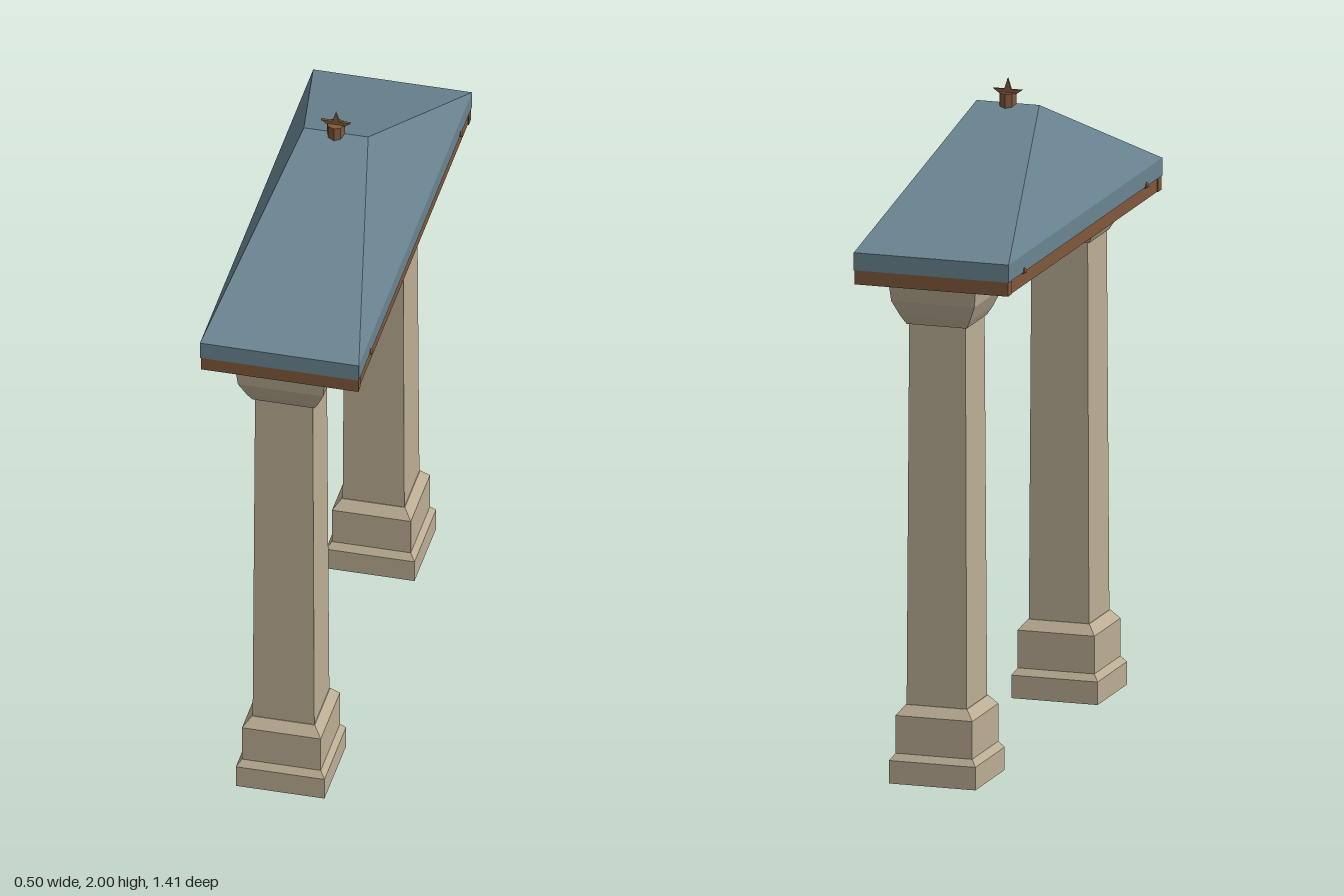
import * as THREE from 'three';

const stone = new THREE.MeshStandardMaterial({ color: 0xbcae94 });
stone.name = 'stone';
const slate = new THREE.MeshStandardMaterial({ color: 0x6a8592 });
slate.name = 'slate';
const wood = new THREE.MeshStandardMaterial({ color: 0x80593b });
wood.name = 'wood';

// Flat-faced solid through rectangular rings [halfX, halfZ, y]
function stack(rings) {
  const corners = [[1, 1], [1, -1], [-1, -1], [-1, 1]];
  const at = (r, i) => [corners[i % 4][0] * r[0], r[2], corners[i % 4][1] * r[1]];
  const pos = [];
  for (let k = 0; k < rings.length - 1; k++) {
    for (let i = 0; i < 4; i++) {
      const a = at(rings[k], i), b = at(rings[k], i + 1);
      const c = at(rings[k + 1], i + 1), d = at(rings[k + 1], i);
      pos.push(...a, ...b, ...c, ...a, ...c, ...d);
    }
  }
  const g = new THREE.BufferGeometry();
  g.setAttribute('position', new THREE.Float32BufferAttribute(pos, 3));
  g.computeVertexNormals();
  return g;
}

const square = (profile) => stack(profile.map(([h, y]) => [h, h, y]));

function add(parent, name, geometry, material, x = 0, y = 0, z = 0) {
  const mesh = new THREE.Mesh(geometry, material);
  mesh.name = name;
  mesh.position.set(x, y, z);
  parent.add(mesh);
  return mesh;
}

export function createModel() {
  const model = new THREE.Group();
  model.name = 'gateway';

  // Columns: hollow stepped base, tapering shaft, flared capital
  const base = square([
    [0, 0.22], [0.085, 0.22], [0.085, 0], [0.135, 0], [0.135, 0.07],
    [0.12, 0.09], [0.12, 0.205], [0.096, 0.235], [0, 0.235],
  ]);
  const shaft = square([[0.094, 0.23], [0.088, 1.4]]);
  const capital = square([
    [0, 1.395], [0.094, 1.395], [0.108, 1.42], [0.13, 1.47], [0.135, 1.515], [0, 1.515],
  ]);
  for (const side of [1, -1]) {
    const column = new THREE.Group();
    column.name = side > 0 ? 'frontColumn' : 'backColumn';
    column.position.z = side * 0.562;
    add(column, 'base', base, stone);
    add(column, 'shaft', shaft, stone);
    add(column, 'capital', capital, stone);

    // Slanted struts from capital to eaves
    for (const s of [1, -1]) {
      const strut = add(column, 'strut', new THREE.CylinderGeometry(0.009, 0.009, 0.16, 6), wood, s * 0.173, 1.532, 0);
      strut.rotation.z = -s * 1.16;
    }
    model.add(column);
  }

  // Timber frame under the roof
  const frame = new THREE.Group();
  frame.name = 'timberFrame';
  for (const s of [1, -1]) {
    add(frame, 'sideRail', new THREE.BoxGeometry(0.03, 0.045, 1.39), wood, s * 0.222, 1.5375, 0);
    add(frame, 'endRail', new THREE.BoxGeometry(0.48, 0.045, 0.03), wood, 0, 1.5375, s * 0.69);
  }
  add(frame, 'centreBeam', new THREE.BoxGeometry(0.08, 0.045, 1.36), wood, 0, 1.5375, 0);
  model.add(frame);

  // Hipped roof with a short ridge across the middle
  add(model, 'roof', stack([
    [0, 0, 1.558], [0.242, 0.707, 1.558], [0.242, 0.707, 1.612], [0.098, 0, 1.925],
  ]), slate);

  // Finial: round socket with a thin star
  const finial = new THREE.Group();
  finial.name = 'finial';
  const socket = new THREE.CylinderGeometry(0.027, 0.027, 0.045, 8).toNonIndexed();
  socket.computeVertexNormals();
  add(finial, 'socket', socket, wood, 0, 1.934, 0);
  const star = new THREE.Shape();
  for (let i = 0; i < 10; i++) {
    const r = i % 2 ? 0.018 : 0.048;
    const a = Math.PI / 2 + (i * Math.PI) / 5;
    star[i ? 'lineTo' : 'moveTo'](r * Math.cos(a), r * Math.sin(a));
  }
  star.closePath();
  const plate = new THREE.ExtrudeGeometry(star, { depth: 0.008, bevelEnabled: false });
  add(finial, 'star', plate, wood, 0, 1.952, -0.004);
  model.add(finial);

  return model;
}
